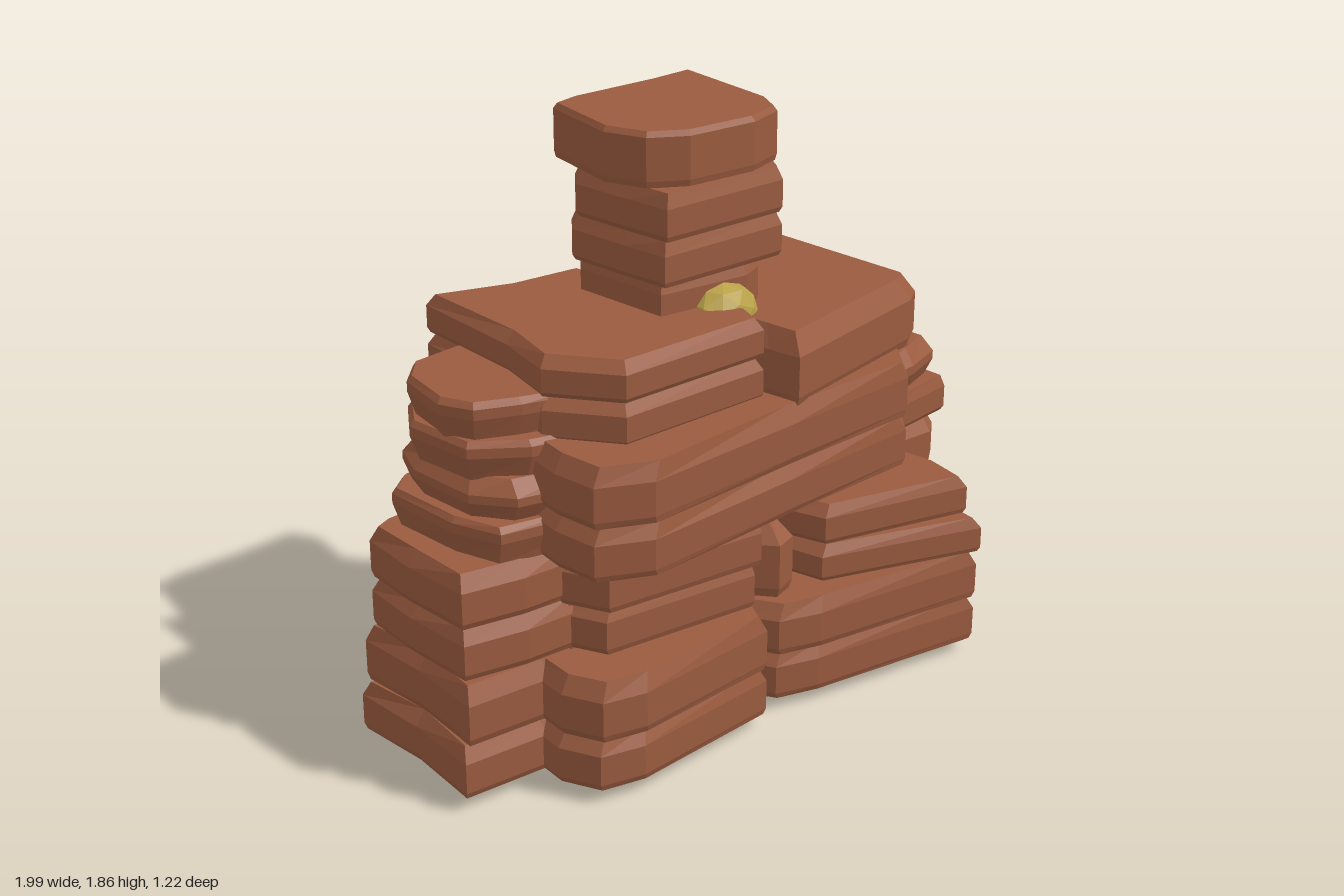
import * as THREE from 'three';

export function createModel() {
  const model = new THREE.Group();
  const rock = new THREE.MeshStandardMaterial({ color: 0x9a5b3f, flatShading: true });
  rock.name = 'red rock';
  const gold = new THREE.MeshStandardMaterial({ color: 0xb8a048, flatShading: true });
  gold.name = 'gold ore';
  const coal = new THREE.MeshStandardMaterial({ color: 0x343a3e, flatShading: true });
  coal.name = 'dark stone';

  // A slab from an [x, z] outline: undercut foot, straight wall, chamfered top
  function slab(name, y0, y1, outline, { foot = 0.01, top = 0.03, low = 0.12, shoulder = 0.7, mat = rock } = {}) {
    const n = outline.length;
    let area = 0, cx = 0, cz = 0;
    outline.forEach(([x, z], i) => {
      const [x2, z2] = outline[(i + 1) % n];
      area += x * z2 - x2 * z;
      cx += x / n;
      cz += z / n;
    });
    const pts = area > 0 ? [...outline].reverse() : outline;
    const ring = (y, inset) => pts.map(([x, z]) => {
      const dx = x - cx, dz = z - cz, k = 1 - inset / Math.hypot(dx, dz);
      return [cx + dx * k, y, cz + dz * k];
    });
    const h = y1 - y0;
    const rings = [ring(y0, foot), ring(y0 + h * low, 0), ring(y0 + h * shoulder, 0), ring(y1, top)];
    const pos = [];
    for (let i = 0; i < n; i++) {
      const j = (i + 1) % n;
      for (let r = 0; r < 3; r++) {
        const a = rings[r], b = rings[r + 1];
        pos.push(...a[i], ...a[j], ...b[j], ...a[i], ...b[j], ...b[i]);
      }
      pos.push(cx, y1, cz, ...rings[3][i], ...rings[3][j]);
      pos.push(cx, y0, cz, ...rings[0][j], ...rings[0][i]);
    }
    const geo = new THREE.BufferGeometry();
    geo.setAttribute('position', new THREE.Float32BufferAttribute(pos, 3));
    geo.computeVertexNormals();
    const mesh = new THREE.Mesh(geo, mat);
    mesh.name = name;
    model.add(mesh);
  }

  // Several slabs of one outline, each slightly smaller or shifted
  function stack(name, ys, outline, shifts = [], opts = {}) {
    for (let i = 0; i < ys.length - 1; i++) {
      const [dx, dz, s] = shifts[i] || [0, 0, 1];
      slab(`${name}${i + 1}`, ys[i], ys[i + 1], outline.map(([x, z]) => [x * s + dx, z * s + dz]), opts);
    }
  }

  // Bottom tier
  const low = [0.042, 0.205, 0.39];
  slab('baseCore', 0.045, 0.39, [[-0.66, -0.3], [0.75, -0.3], [0.75, 0.25], [-0.66, 0.25]]);
  stack('baseFrontLeft', low, [[-0.72, 0.36], [-0.66, 0.48], [-0.52, 0.51], [0, 0.45], [0.04, 0.36],
    [0.02, 0], [-0.7, 0]], [[0, 0, 1], [-0.01, 0.02, 0.98]]);
  stack('baseFrontRight', [0.042, 0.2, 0.365], [[0.02, 0.32], [0.08, 0.42], [0.22, 0.46], [0.84, 0.53], [0.89, 0.4],
    [0.86, 0], [0.04, 0]], [[0, -0.015, 1], [0, 0, 0.99]]);
  stack('baseBackLeft', low, [[-0.81, -0.4], [-0.71, -0.61], [-0.02, -0.61], [0.08, -0.47], [0.06, 0], [-0.8, 0]],
    [[0, 0, 1], [-0.01, 0.02, 0.99]]);
  stack('baseBackRight', [0.042, 0.2, 0.375], [[0.05, -0.44], [0.3, -0.46], [0.78, -0.54], [0.8, -0.3], [0.82, 0], [0.05, 0]]);
  stack('baseLeftWing', low, [[-0.99, -0.26], [-0.9, -0.25], [-0.6, -0.3], [-0.6, 0.3], [-0.7, 0.28],
    [-0.98, 0.27], [-0.97, 0]], [[0, 0, 1], [0.01, 0, 0.99]]);
  stack('baseRightWing', low, [[0.96, -0.24], [1, -0.2], [0.98, 0.2], [0.95, 0.26], [0.6, 0.3], [0.6, -0.3]],
    [[0, 0, 1], [0, 0.01, 0.99]]);

  // Second tier
  const mid = [0.4, 0.56, 0.725];
  slab('middleCore', 0.39, 0.72, [[-0.7, -0.3], [0.66, -0.3], [0.66, 0.2], [0.2, 0.25], [0.1, 0.31], [-0.6, 0.26]]);
  stack('middleFrontLeft', [0.4, 0.55, 0.7], [[-0.63, 0.26], [-0.56, 0.4], [-0.02, 0.44], [0.06, 0.32],
    [0.04, 0], [-0.6, 0]], [[0, -0.02, 0.98], [0, 0, 1]]);
  slab('middleFrontRight1', 0.42, 0.535, [[0.18, 0.3], [0.22, 0.45], [0.75, 0.61], [0.77, 0.44], [0.72, 0.1], [0.2, 0.1]]);
  slab('middleFrontRight2', 0.535, 0.66, [[0.19, 0.3], [0.24, 0.44], [0.74, 0.55], [0.77, 0.4], [0.72, 0.1], [0.2, 0.1]]);
  stack('middleBackLeft', [0.39, 0.55, 0.7], [[-0.74, -0.3], [-0.62, -0.46], [-0.05, -0.44], [0.02, -0.32],
    [0, 0], [-0.7, 0]], [[0, 0, 1], [0, 0.02, 0.98]]);
  stack('middleBackRight', [0.42, 0.54, 0.66], [[0.18, -0.3], [0.25, -0.45], [0.7, -0.58], [0.74, -0.35],
    [0.7, 0], [0.2, 0]]);
  stack('middleLeftWing', mid, [[-0.96, -0.22], [-0.9, -0.25], [-0.55, -0.28], [-0.55, 0.27], [-0.75, 0.27],
    [-0.95, 0.24], [-0.97, 0]], [[0, 0, 1], [-0.01, 0, 0.99]]);
  stack('middleRightWing', mid, [[0.9, -0.28], [0.95, -0.22], [0.94, 0.2], [0.88, 0.25], [0.5, 0.25], [0.5, -0.28]]);
  // Small boulders in the front and back clefts
  slab('frontCleftRock', 0.38, 0.63, [[0.02, 0.3], [0.1, 0.39], [0.18, 0.36], [0.21, 0.2], [0.04, 0.16]], { top: 0.07 });
  slab('backCleftRock', 0.38, 0.7, [[0, -0.3], [0.06, -0.4], [0.17, -0.39], [0.22, -0.2], [0, -0.2]], { top: 0.04 });

  // Third tier
  stack('upperFront', [0.72, 0.88, 1.06], [[-0.7, 0.34], [-0.68, 0.49], [-0.52, 0.56], [0.05, 0.5], [0.56, 0.45],
    [0.66, 0.32], [0.6, 0], [-0.66, 0]]);
  stack('upperBack', [0.72, 0.88, 1.06], [[-0.66, -0.3], [-0.54, -0.48], [0.04, -0.46], [0.16, -0.49],
    [0.3, -0.43], [0.66, -0.44], [0.68, -0.28], [0.64, 0.04], [-0.66, 0.04]]);
  // Side wings, widest near the top of each layer
  const flared = { foot: 0.025, top: 0.015, low: 0.6, shoulder: 0.85 };
  const pointed = { foot: 0.03, top: 0.04, low: 0.45, shoulder: 0.65 };
  slab('upperLeftWing1', 0.72, 0.84, [[-0.82, -0.25], [-0.9, -0.18], [-0.88, 0.1], [-0.82, 0.25], [-0.5, 0.3], [-0.5, -0.3]], flared);
  slab('upperLeftWing2', 0.83, 0.96, [[-0.82, -0.24], [-0.87, -0.1], [-0.85, 0.14], [-0.76, 0.25], [-0.5, 0.3], [-0.5, -0.3]], pointed);
  slab('upperLeftWing3', 0.95, 1.07, [[-0.8, -0.23], [-0.88, -0.1], [-0.85, 0.14], [-0.7, 0.24], [-0.5, 0.28], [-0.5, -0.28]], flared);
  slab('upperRightWing1', 0.72, 0.84, [[0.87, -0.3], [0.96, -0.2], [0.97, 0.22], [0.5, 0.3], [0.5, -0.35]], { top: 0.015 });
  slab('upperRightWing2', 0.83, 0.97, [[0.88, -0.28], [0.99, -0.24], [0.95, 0], [0.95, 0.18], [0.8, 0.24], [0.5, 0.28], [0.5, -0.3]], pointed);
  slab('upperRightWing3', 0.95, 1.07, [[0.84, -0.22], [0.82, 0.19], [0.6, 0.22], [0.5, -0.25]]);

  // Shoulders
  stack('leftShoulder', [1.05, 1.18, 1.3], [[-0.6, -0.42], [-0.35, -0.36], [-0.1, -0.35], [-0.08, -0.18],
    [0.02, 0.1], [0.06, 0.3], [0.03, 0.38], [-0.5, 0.41], [-0.65, 0.22], [-0.61, 0]]);
  slab('rightShoulder', 1.05, 1.265, [[0.05, 0.38], [0.07, 0.49], [0.67, 0.34], [0.74, 0.29], [0.7, -0.37],
    [0.35, -0.38], [0.04, -0.43], [0.03, -0.2], [-0.02, 0]], { top: 0.05 });
  slab('leftShoulderWing', 1.06, 1.185, [[-0.77, -0.24], [-0.85, -0.15], [-0.88, 0.05], [-0.83, 0.15], [-0.7, 0.2],
    [-0.5, 0.25], [-0.5, -0.28]], flared);
  slab('rightShoulderWing', 1.06, 1.18, [[0.83, -0.22], [0.8, 0.2], [0.5, 0.22], [0.5, -0.25]], flared);

  // Tower
  slab('neck', 1.25, 1.413, [[-0.22, -0.16], [-0.16, -0.24], [0.18, -0.23], [0.23, -0.1], [0.2, 0.16], [0.12, 0.2],
    [-0.19, 0.18]], { top: 0.02 });
  stack('tower', [1.415, 1.55, 1.69], [[-0.28, -0.12], [-0.22, -0.2], [0.2, -0.2], [0.31, -0.15], [0.29, 0.12],
    [0.22, 0.24], [-0.24, 0.26], [-0.26, 0.1]], [[0, 0, 1], [0, 0.01, 0.98]], { top: 0.02 });
  slab('towerJoint', 1.68, 1.71, [[-0.15, -0.1], [0.15, -0.1], [0.15, 0.12], [-0.15, 0.12]]);
  slab('capStone', 1.695, 1.857, [[-0.25, -0.24], [-0.16, -0.27], [0.16, -0.29], [0.32, -0.31], [0.28, 0.1], [0.23, 0.2],
    [0.1, 0.25], [-0.14, 0.25], [-0.25, 0.19], [-0.3, 0.06]], { foot: 0.005, top: 0.012, shoulder: 0.9 });

  // Ore nuggets around the neck and in the back cleft, and pebbles on the back wall
  for (const [name, mat, p, s] of [
    ['frontNugget', gold, [0.035, 1.25, 0.19], [0.12, 0.11, 0.09]],
    ['sideNugget', gold, [0.15, 1.25, -0.155], [0.085, 0.06, 0.09]],
    ['backNugget', gold, [-0.03, 1.13, -0.27], [0.08, 0.1, 0.1]],
    ['lowerPebble', rock, [-0.03, 0.77, -0.46], [0.05, 0.05, 0.04]],
    ['upperPebble', rock, [0.08, 0.94, -0.46], [0.04, 0.04, 0.04]],
  ]) {
    const lump = new THREE.Mesh(new THREE.IcosahedronGeometry(1, 1), mat);
    lump.name = name;
    lump.position.set(...p);
    lump.scale.set(...s);
    model.add(lump);
  }

  // Dark stone under the base
  slab('footStone', 0, 0.055, [[-0.23, -0.02], [-0.17, -0.11], [0.06, -0.14], [0.24, -0.08], [0.26, 0.06],
    [0.12, 0.16], [-0.1, 0.18], [-0.21, 0.1]], { foot: 0.03, top: 0.005, low: 0.5, mat: coal });

  return model;
}
